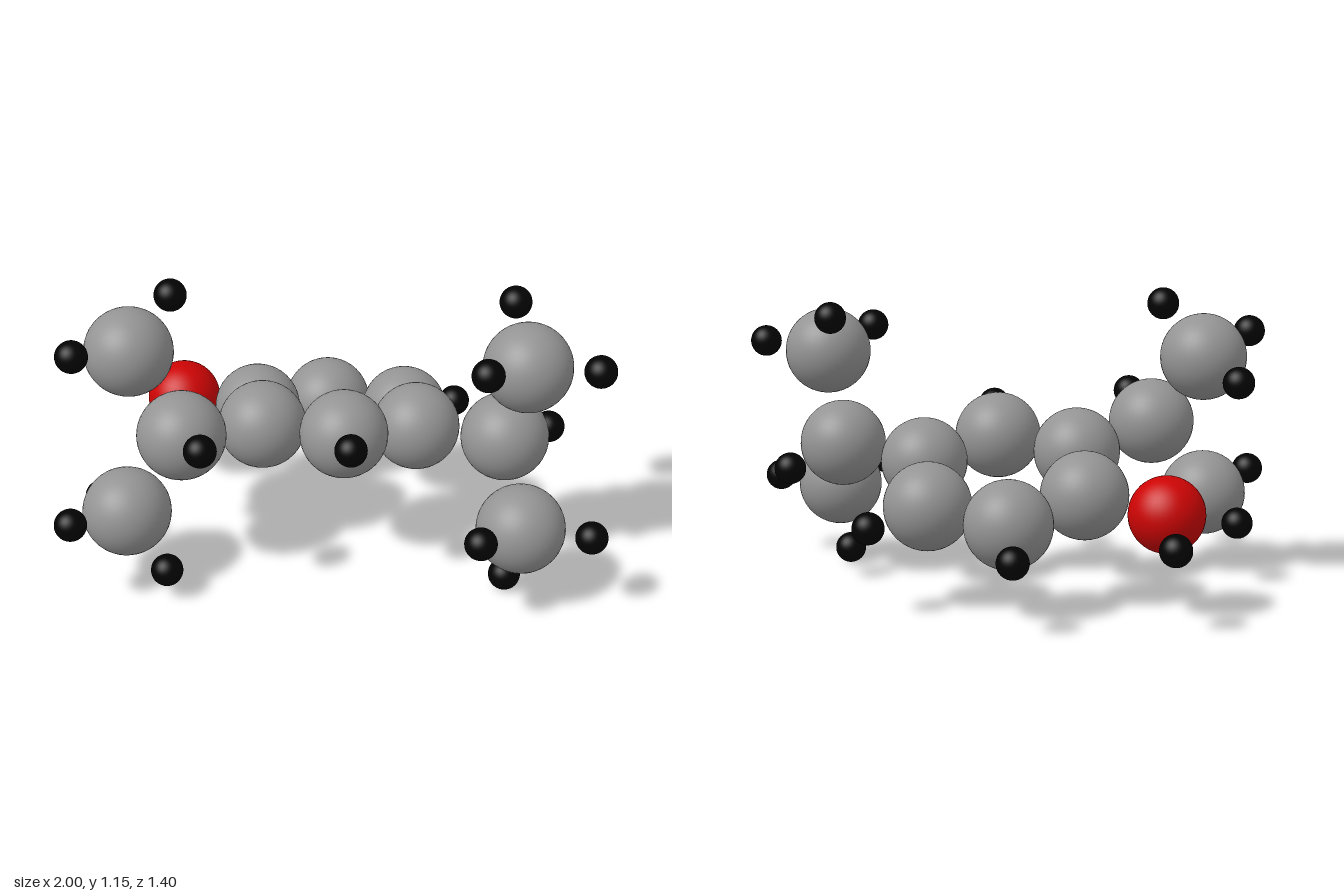
import * as THREE from 'three';

// Ball model of a molecule: every atom is a smooth sphere at [x, y, z]
const RING = [
  [-0.382, 0.422, -0.195], [-0.133, 0.35, -0.405], [0.183, 0.385, -0.31],
  [0.257, 0.492, -0.005], [0.007, 0.562, 0.2], [-0.313, 0.527, 0.11],
];

// Two side branches: one joint carbon carrying two end carbons
const RIGHT_BRANCH = [[-0.573, 0.607, 0.355], [-0.779, 0.882, 0.243], [-0.774, 0.312, 0.435]];
const LEFT_BRANCH = [[0.598, 0.532, 0.095], [0.674, 0.879, 0.18], [0.68, 0.311, 0.375]];

const OXYGEN = [[-0.695, 0.385, -0.297]];

// Hydrogens, grouped by the part they surround
const RING_HYDROGENS = [[-0.187, 0.269, -0.643], [0.369, 0.333, -0.48], [0.063, 0.643, 0.445]];
const OXYGEN_HYDROGEN = [[-0.748, 0.307, -0.519]];
const RIGHT_HYDROGENS = [
  [-0.46, 0.686, 0.582],
  [-0.941, 0.958, 0.44], [-0.926, 0.818, 0.035], [-0.628, 1.091, 0.18],
  [-0.936, 0.372, 0.64], [-0.921, 0.238, 0.235], [-0.616, 0.116, 0.517],
];
const LEFT_HYDROGENS = [
  [0.757, 0.465, -0.105],
  [0.613, 1.034, -0.025], [0.542, 0.954, 0.39], [0.935, 0.904, 0.225],
  [0.547, 0.376, 0.588], [0.94, 0.324, 0.424], [0.625, 0.06, 0.311],
];

export function createModel() {
  const model = new THREE.Group();
  model.name = 'molecule';

  const kind = (radius, color) => ({
    geometry: new THREE.SphereGeometry(radius, 40, 24),
    material: new THREE.MeshStandardMaterial({ color }),
  });
  const carbon = kind(0.165, 0x949494);
  const oxygen = kind(0.142, 0xcc0404);
  const hydrogen = kind(0.06, 0x030303);

  const addAtoms = (groupName, atomName, { geometry, material }, positions) => {
    const group = new THREE.Group();
    group.name = groupName;
    positions.forEach((p, i) => {
      const atom = new THREE.Mesh(geometry, material);
      atom.name = `${atomName}${i + 1}`;
      atom.position.set(...p);
      group.add(atom);
    });
    model.add(group);
  };

  addAtoms('carbonRing', 'ringCarbon', carbon, RING);
  addAtoms('rightBranch', 'rightCarbon', carbon, RIGHT_BRANCH);
  addAtoms('leftBranch', 'leftCarbon', carbon, LEFT_BRANCH);
  addAtoms('oxygen', 'oxygenAtom', oxygen, OXYGEN);
  addAtoms('ringHydrogens', 'ringHydrogen', hydrogen, RING_HYDROGENS);
  addAtoms('oxygenHydrogen', 'oxygenHydrogenAtom', hydrogen, OXYGEN_HYDROGEN);
  addAtoms('rightHydrogens', 'rightHydrogen', hydrogen, RIGHT_HYDROGENS);
  addAtoms('leftHydrogens', 'leftHydrogen', hydrogen, LEFT_HYDROGENS);

  return model;
}
